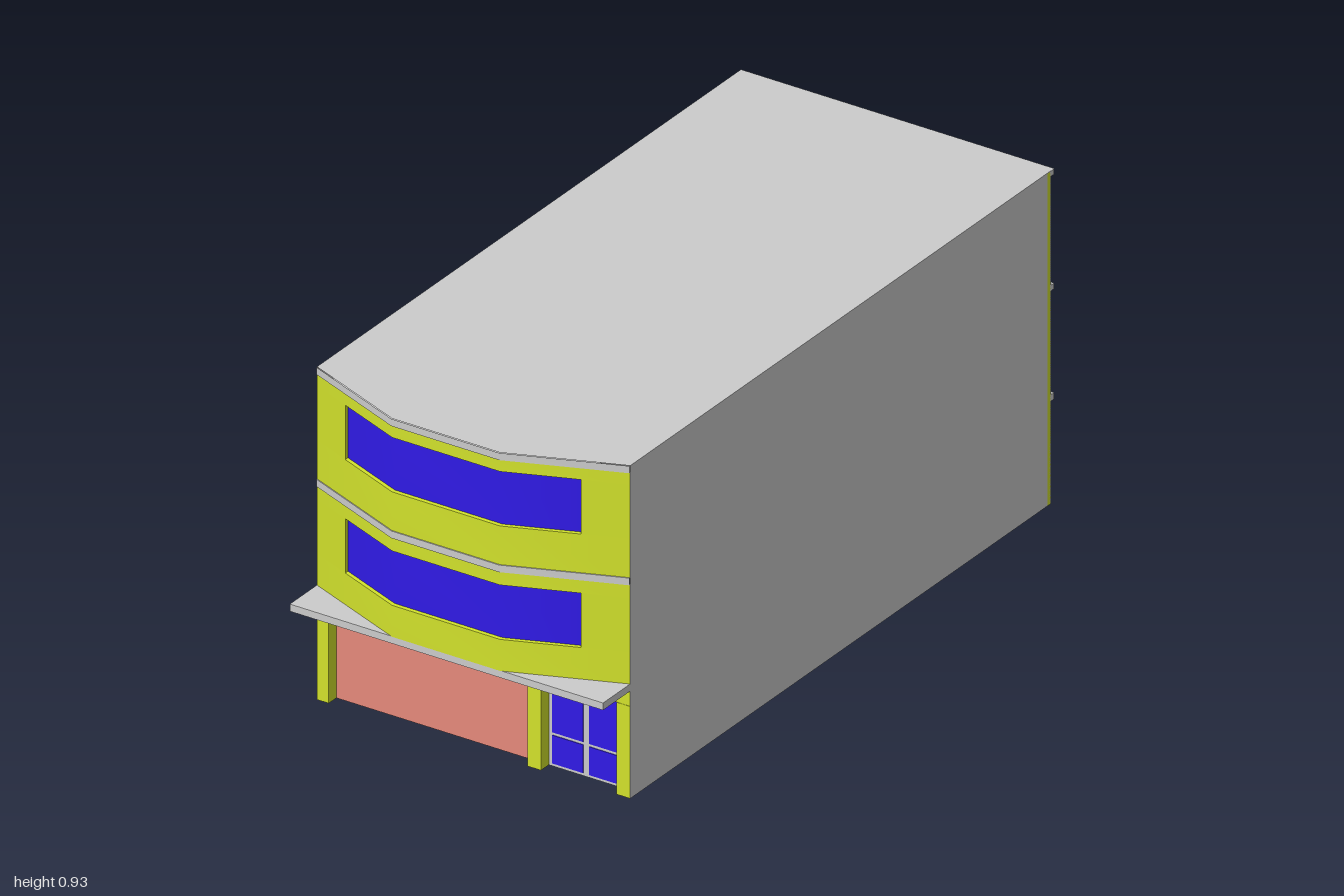
import * as THREE from 'three';

const mat = (color) => new THREE.MeshStandardMaterial({ color, side: THREE.DoubleSide });

export function createModel() {
  const house = new THREE.Group();
  house.name = 'house';
  const grey = mat(0xcccccc), lime = mat(0xd2e22c), blue = mat(0x301ae6), salmon = mat(0xe5897b);
  const W = 0.465, H = 0.93, FRONT = 0.875, BACK = -0.985;

  const add = (name, geometry, material) => {
    const mesh = new THREE.Mesh(geometry, material);
    mesh.name = name;
    house.add(mesh);
    return mesh;
  };
  // Box given by its lower and upper limits on each axis
  const box = (name, material, x0, x1, y0, y1, z0, z1) => {
    const mesh = add(name, new THREE.BoxGeometry(x1 - x0, y1 - y0, z1 - z0), material);
    mesh.position.set((x0 + x1) / 2, (y0 + y1) / 2, (z0 + z1) / 2);
  };

  // Depth of the three-sided bay at a given x
  const bayZ = (x) => FRONT + 0.122 * Math.min(1, (W - Math.abs(x)) / (W - 0.16));
  // Upright wall strip following the bay, smooth across its folds
  const bayStrip = (name, material, xs, y0, y1, inset = 0) => {
    const pos = [], index = [];
    xs.forEach((x, i) => {
      const z = bayZ(x) - inset;
      pos.push(x, y0, z, x, y1, z);
      const a = 2 * i;
      if (i < xs.length - 1) index.push(a, a + 2, a + 1, a + 1, a + 2, a + 3);
    });
    const g = new THREE.BufferGeometry();
    g.setAttribute('position', new THREE.Float32BufferAttribute(pos, 3));
    g.setIndex(index);
    g.computeVertexNormals();
    add(name, g, material);
  };
  // Horizontal plate with the bay's outline between two depths
  const bayPlate = (name, material, y, backZ, inset = 0) => {
    const s = new THREE.Shape();
    s.moveTo(-W, -backZ);
    for (const x of [-W, -0.16, 0.16, W]) s.lineTo(x, -(bayZ(x) - inset));
    s.lineTo(W, -backZ);
    const g = new THREE.ShapeGeometry(s);
    g.rotateX(-Math.PI / 2);
    add(name, g, material).position.y = y;
  };

  // Side walls and roof of the hollow shell
  for (const side of [-1, 1]) {
    const wall = add('sideWall', new THREE.PlaneGeometry(FRONT - BACK, H), grey);
    wall.rotation.y = side * Math.PI / 2;
    wall.position.set(side * W, H / 2, (FRONT + BACK) / 2);
  }
  bayPlate('roof', grey, H, -1);

  // Bay storeys with recessed window ribbons
  const full = [-W, -0.16, 0.16, W], ribbon = [-0.35, -0.16, 0.16, 0.35];
  for (const [bottom, sill, head, top] of [[0.32, 0.408, 0.56, 0.597], [0.617, 0.725, 0.877, 0.91]]) {
    bayStrip('bayWallBelowWindow', lime, full, bottom, sill);
    bayStrip('bayWallAboveWindow', lime, full, head, top);
    bayStrip('bayWallSide', lime, [-W, -0.35], sill, head);
    bayStrip('bayWallSide', lime, [0.35, W], sill, head);
    bayStrip('bayWindow', blue, ribbon, sill, head, 0.012);
    // Jambs, sill and lintel of the opening
    for (const x of [-0.35, 0.35]) {
      const jamb = add('windowJamb', new THREE.PlaneGeometry(0.012, head - sill), lime);
      jamb.rotation.y = -Math.sign(x) * Math.PI / 2;
      jamb.position.set(x, (sill + head) / 2, bayZ(x) - 0.006);
    }
    for (const y of [sill, head]) {
      const pos = [], index = [];
      ribbon.forEach((x, i) => {
        pos.push(x, y, bayZ(x) - 0.012, x, y, bayZ(x));
        if (i < 3) index.push(2 * i, 2 * i + 1, 2 * i + 2, 2 * i + 2, 2 * i + 1, 2 * i + 3);
      });
      const g = new THREE.BufferGeometry();
      g.setAttribute('position', new THREE.Float32BufferAttribute(pos, 3));
      g.setIndex(index);
      g.computeVertexNormals();
      add('windowReveal', g, lime);
    }
  }

  // Front floor bands
  for (const [y0, y1] of [[0.597, 0.617], [0.91, H]]) {
    bayStrip('frontBand', grey, full, y0, y1, -0.003);
    if (y1 < H) bayPlate('bandTop', grey, y1, FRONT - 0.003, -0.003);
    bayPlate('bandUnderside', grey, y0, FRONT - 0.003, -0.003);
  }
  box('canopy', grey, -W, W, 0.3, 0.32, FRONT, 0.995);

  // Ground floor front: pillars, header, garage door
  const recess = FRONT - 0.04;
  for (const [x0, x1] of [[-W, -0.43], [0.16, 0.2], [0.425, W]])
    box('frontPillar', lime, x0, x1, 0, 0.257, recess, FRONT);
  box('frontHeader', lime, -W, W, 0.257, 0.32, recess, FRONT - 0.001);
  box('garageDoor', salmon, -0.43, 0.16, 0, 0.257, recess, recess + 0.006);

  // Glazed entrance with four panes
  box('entranceBacking', lime, 0.2, 0.425, 0, 0.257, recess - 0.004, recess);
  box('entranceFrame', grey, 0.2, 0.425, 0, 0.257, recess, recess + 0.005);
  for (const [x0, x1] of [[0.211, 0.303], [0.321, 0.415]])
    for (const [y0, y1] of [[0.008, 0.087], [0.095, 0.25]])
      box('entrancePane', blue, x0, x1, y0, y1, recess + 0.004, recess + 0.007);

  // Back wall with window and door openings
  const rect = (path, x0, x1, y0, y1) =>
    path.moveTo(x0, y0).lineTo(x1, y0).lineTo(x1, y1).lineTo(x0, y1).closePath();
  const backShape = rect(new THREE.Shape(), -W, W, 0, H - 0.002);
  const openings = [];
  for (const [y0, y1] of [[0.4, 0.525], [0.725, 0.85]])
    for (const [x0, x1] of [[-0.315, -0.14], [0.13, 0.305]]) openings.push([x0, x1, y0, y1]);
  for (const o of openings) {
    backShape.holes.push(rect(new THREE.Path(), ...o));
    box('backWindow', blue, ...o, BACK + 0.011, BACK + 0.015);
  }
  add('backWall', new THREE.ExtrudeGeometry(backShape, { depth: 0.015, bevelEnabled: false }), lime)
    .position.z = BACK;

  // Back door: frame and four panes
  box('backDoorFrame', grey, -0.325, -0.208, 0, 0.21, BACK - 0.001, BACK + 0.002);
  for (const [x0, x1] of [[-0.325, -0.27], [-0.263, -0.208]])
    for (const [y0, y1] of [[0, 0.069], [0.074, 0.21]])
      box('backDoorPane', blue, x0, x1, y0, y1, BACK - 0.002, BACK + 0.001);

  // Back floor bands
  for (const [y0, y1] of [[0.286, 0.304], [0.594, 0.61], [0.914, H - 0.001]])
    box('backBand', grey, -W, W, y0, y1, -1, BACK);

  return house;
}
